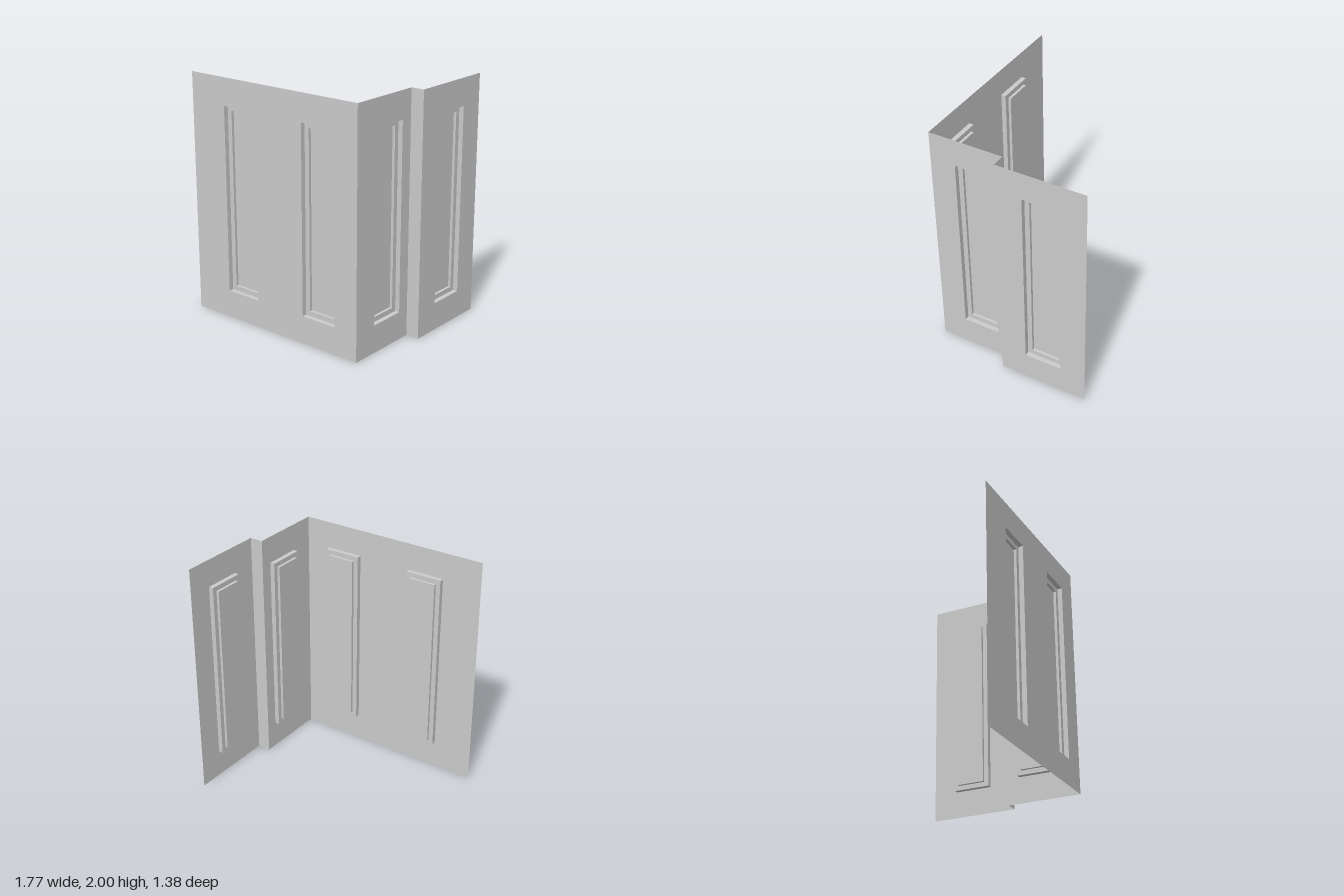
import * as THREE from 'three';

const HEIGHT = 2;
const WINDOW = { w: 0.318, y0: 0.23, y1: 1.773 };
const BORDER = 0.04, FRAME_DEPTH = 0.04, PANE_DEPTH = 0.023;

const material = new THREE.MeshStandardMaterial({
  color: 0xcccccc, flatShading: true, side: THREE.DoubleSide,
});

// Corners of a window rectangle, counter-clockwise, shrunk by an inset
function rect(cx, inset) {
  const h = WINDOW.w / 2 - inset, y0 = WINDOW.y0 + inset, y1 = WINDOW.y1 - inset;
  return [[cx - h, y0], [cx + h, y0], [cx + h, y1], [cx - h, y1]];
}

// Stepped recess: reveal, ledge, inner reveal and closing pane
function recessGeometry(cx) {
  const rings = [[0, 0], [0, -FRAME_DEPTH], [BORDER, -FRAME_DEPTH], [BORDER, -FRAME_DEPTH - PANE_DEPTH]];
  const positions = [], index = [];
  for (const [inset, z] of rings) for (const [x, y] of rect(cx, inset)) positions.push(x, y, z);
  for (let r = 0; r < rings.length - 1; r++) {
    for (let i = 0; i < 4; i++) {
      const a = r * 4 + i, b = r * 4 + (i + 1) % 4;
      index.push(a, b, b + 4, a, b + 4, a + 4);
    }
  }
  const p = (rings.length - 1) * 4;
  index.push(p, p + 1, p + 2, p, p + 2, p + 3);
  const g = new THREE.BufferGeometry();
  g.setAttribute('position', new THREE.Float32BufferAttribute(positions, 3));
  g.setIndex(index);
  const flat = g.toNonIndexed();
  flat.computeVertexNormals();
  return flat;
}

// Thin wall facing +z, from x0 to x1, with a recessed window at each centre
function makeWall(name, x0, x1, centres = []) {
  const wall = new THREE.Group();
  wall.name = name;
  const shape = new THREE.Shape([[x0, 0], [x1, 0], [x1, HEIGHT], [x0, HEIGHT]]
    .map(([x, y]) => new THREE.Vector2(x, y)));
  for (const cx of centres) {
    shape.holes.push(new THREE.Path(rect(cx, 0).reverse().map(([x, y]) => new THREE.Vector2(x, y))));
    const recess = new THREE.Mesh(recessGeometry(cx), material);
    recess.name = 'windowRecess';
    wall.add(recess);
  }
  const face = new THREE.Mesh(new THREE.ShapeGeometry(shape), material);
  face.name = 'wallFace';
  wall.add(face);
  return wall;
}

export function createModel() {
  const model = new THREE.Group();
  model.name = 'buildingCorner';
  const edgeX = 0.886, edgeZ = 0.692, cornerX = 0.774, stepZ = 0.057;

  // Front wall
  const front = makeWall('frontWall', -edgeX, cornerX, [-0.385, 0.404]);
  front.position.z = edgeZ;

  // Side walls, turned to face +x (local x runs towards -z)
  const nearSide = makeWall('nearSideWall', -edgeZ, -stepZ, [-0.317]);
  nearSide.rotation.y = Math.PI / 2;
  nearSide.position.x = cornerX;

  const farSide = makeWall('farSideWall', -stepZ, edgeZ, [0.321]);
  farSide.rotation.y = Math.PI / 2;
  farSide.position.x = edgeX;

  // Narrow step joining the side walls
  const step = makeWall('stepWall', cornerX, edgeX);
  step.position.z = stepZ;

  model.add(front, nearSide, farSide, step);
  return model;
}
